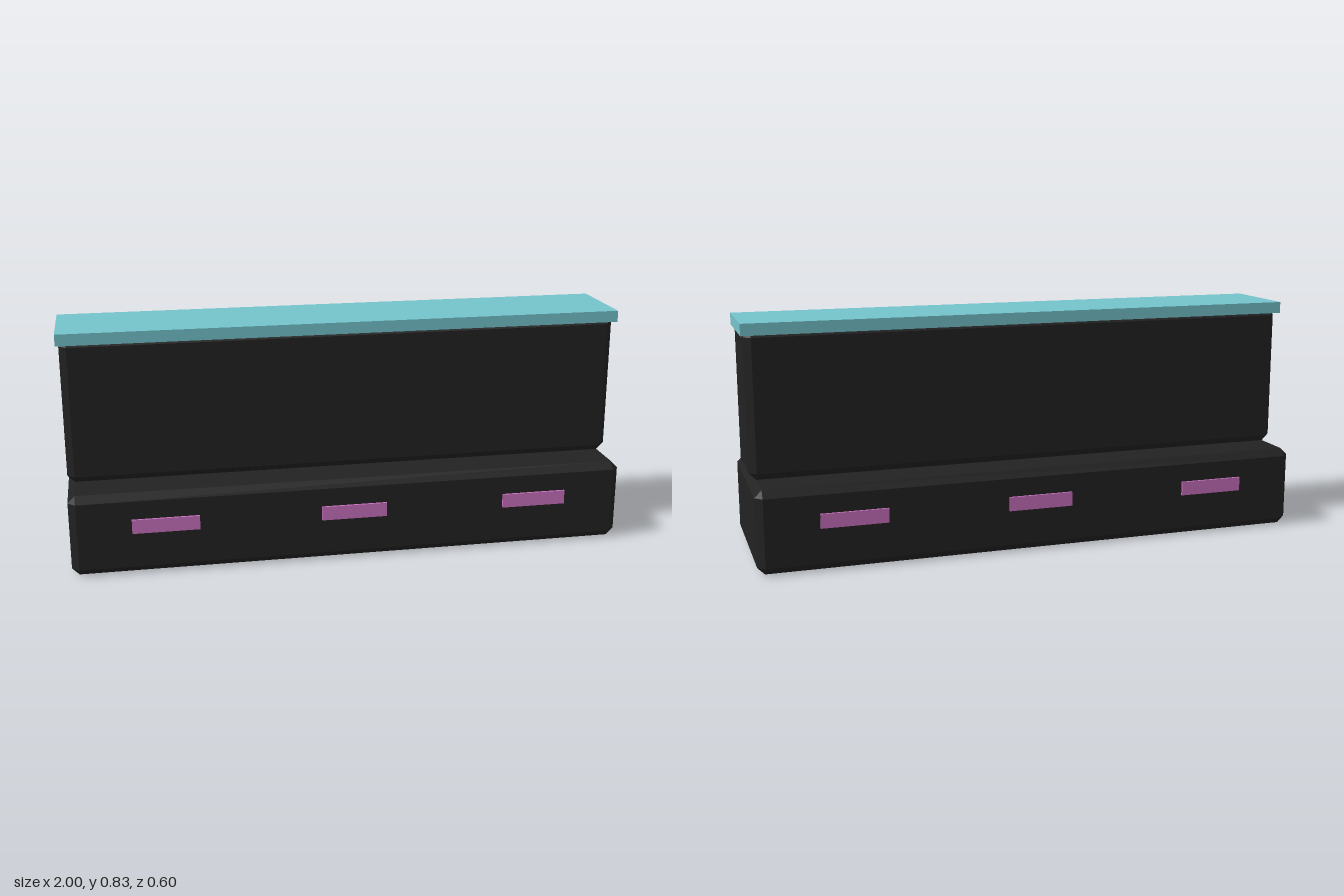
import * as THREE from 'three';
import { ConvexGeometry } from 'three/addons/geometries/ConvexGeometry.js';

// Box with 45-degree chamfers on every edge
function chamferBox(w, h, d, c) {
  const points = [];
  for (const sx of [-1, 1]) for (const sy of [-1, 1]) for (const sz of [-1, 1]) {
    const x = w / 2, y = h / 2, z = d / 2;
    points.push(
      new THREE.Vector3(sx * x, sy * (y - c), sz * (z - c)),
      new THREE.Vector3(sx * (x - c), sy * y, sz * (z - c)),
      new THREE.Vector3(sx * (x - c), sy * (y - c), sz * z));
  }
  return new ConvexGeometry(points);
}

export function createModel() {
  const model = new THREE.Group();
  model.name = 'barrier';
  const black = new THREE.MeshStandardMaterial({ name: 'black', color: 0x222222 });
  const teal = new THREE.MeshStandardMaterial({ name: 'teal', color: 0x74c3cc });
  const pink = new THREE.MeshStandardMaterial({ name: 'pink', color: 0xc970bf });

  const add = (name, geometry, material, x, y, z) => {
    const mesh = new THREE.Mesh(geometry, material);
    mesh.name = name;
    mesh.position.set(x, y, z);
    model.add(mesh);
  };

  // Wide foot, narrower wall and overhanging cap
  add('base', chamferBox(1.98, 0.29, 0.58, 0.025), black, 0, 0.145, 0);
  add('wall', chamferBox(1.98, 0.513, 0.296, 0.025), black, 0, 0.5465, 0);
  add('cap', new THREE.BoxGeometry(2, 0.041, 0.315), teal, 0, 0.8075, 0);

  // Three thin light strips on both long sides of the base
  const strip = new THREE.BoxGeometry(0.233, 0.05, 0.009);
  for (const side of [-1, 1]) {
    for (const x of [-0.662, 0, 0.662]) {
      add('lightStrip', strip, pink, x, 0.175, side * 0.2935);
    }
  }
  return model;
}
